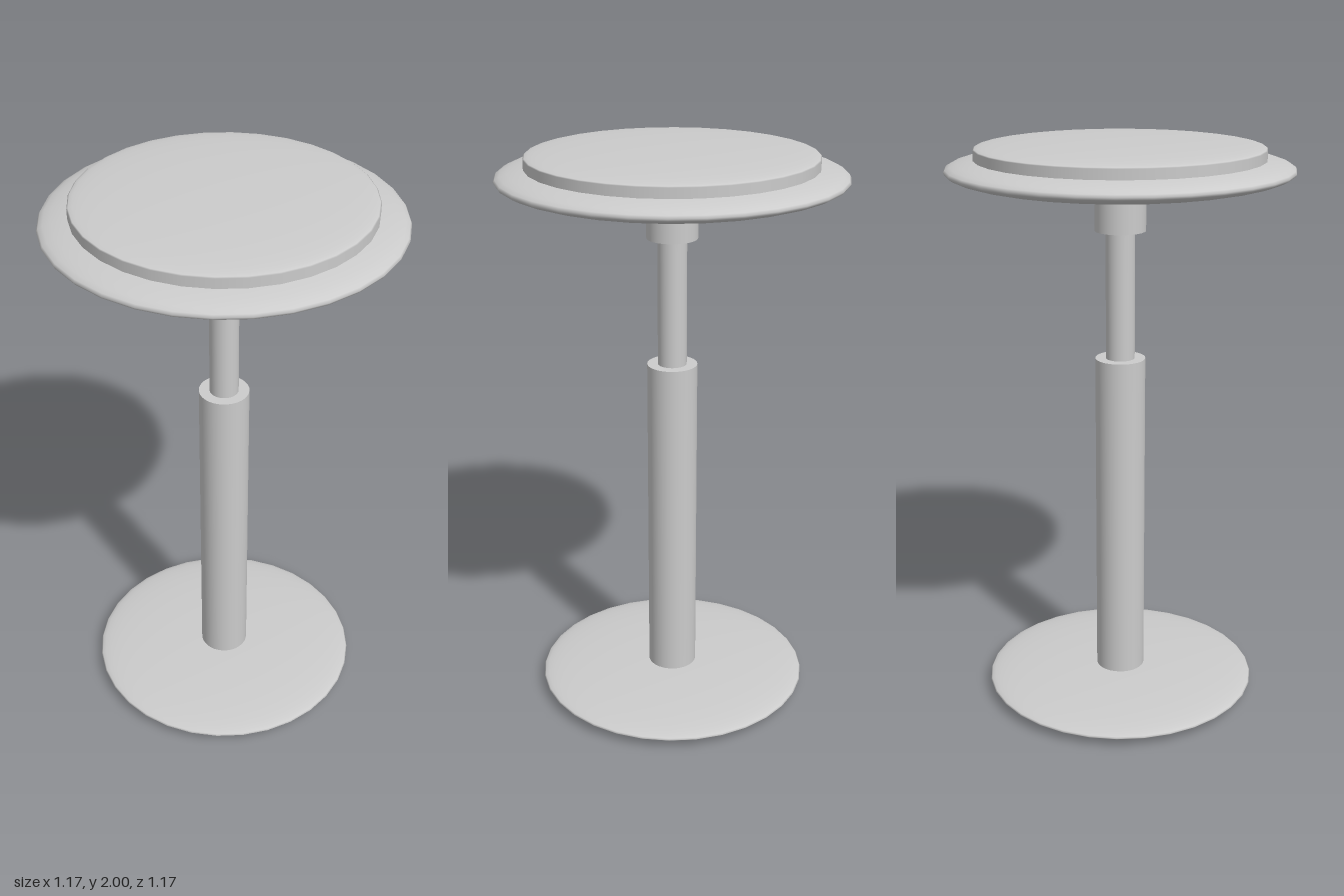
import * as THREE from 'three';

const material = new THREE.MeshStandardMaterial({ color: 0xcccccc });

export function createModel() {
  const stool = new THREE.Group();
  stool.name = 'stool';

  const add = (name, geometry, y) => {
    const mesh = new THREE.Mesh(geometry, material);
    mesh.name = name;
    mesh.position.y = y;
    stool.add(mesh);
  };

  // Flattened sphere, centred on y
  const disc = (name, radius, halfHeight, y) =>
    add(name, new THREE.SphereGeometry(1, 32, 24).scale(radius, halfHeight, radius), y);

  // Capped upright cylinder between two heights
  const post = (name, radius, bottom, top) =>
    add(name, new THREE.CylinderGeometry(radius, radius, top - bottom, 32), (bottom + top) / 2);

  // Foot and telescopic column
  disc('base', 0.486, 0.035, 0.035);
  post('outerColumn', 0.087, 0.035, 1.255);
  post('innerColumn', 0.05, 1.2, 1.75);
  post('seatCollar', 0.087, 1.7, 1.87);

  // Seat with a raised, gently domed cushion
  disc('seat', 0.584, 0.065, 1.906);
  post('cushionSide', 0.486, 1.91, 1.975);
  disc('cushionTop', 0.486, 0.025, 1.975);

  return stool;
}
